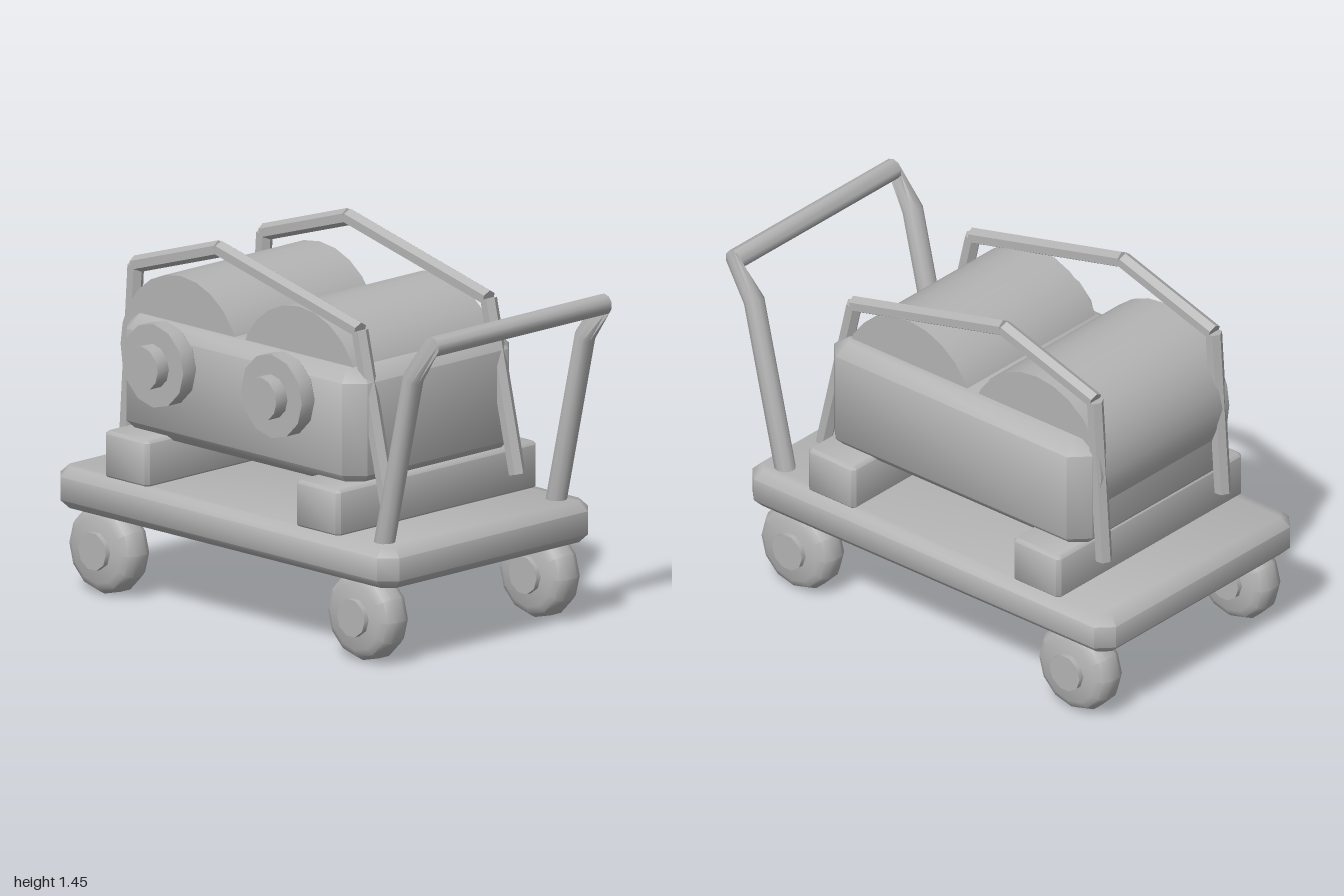
import * as THREE from 'three';
import { toCreasedNormals } from 'three/addons/utils/BufferGeometryUtils.js';

const steel = new THREE.MeshStandardMaterial({ color: 0xb4b4b4 });
steel.name = 'plain grey';

function add(parent, name, geometry, x = 0, y = 0, z = 0) {
  const mesh = new THREE.Mesh(geometry, steel);
  mesh.name = name;
  mesh.position.set(x, y, z);
  parent.add(mesh);
  return mesh;
}

// Box with cut corners in plan and a bevel along top and bottom, standing on y = 0
function bevelledBox(w, h, d, corner, bevel, crease) {
  const a = w / 2 - bevel, b = d / 2 - bevel, c = Math.max(corner - bevel * 0.6, 0.005);
  const shape = new THREE.Shape([
    [a - c, -b], [a, -b + c], [a, b - c], [a - c, b],
    [-a + c, b], [-a, b - c], [-a, -b + c], [-a + c, -b],
  ].map(([x, y]) => new THREE.Vector2(x, y)));
  const g = new THREE.ExtrudeGeometry(shape, {
    depth: h - 2 * bevel, bevelEnabled: true, bevelSegments: 1, bevelSize: bevel, bevelThickness: bevel,
  });
  g.translate(0, 0, bevel);
  g.rotateX(-Math.PI / 2);
  g.clearGroups();
  return toCreasedNormals(g, crease);
}

// Turned part along x, profile given as [radius, x] with x rising
function turned(profile, sides, crease = 0.65) {
  const g = new THREE.LatheGeometry(profile.map(([r, x]) => new THREE.Vector2(r, x)), sides);
  g.rotateZ(-Math.PI / 2);
  return toCreasedNormals(g, crease);
}

// Hexagonal bar between two points in the z-y plane, ridge upward
function hexBar(p, q, r) {
  const a = new THREE.Vector3(0, p[1], p[0]), b = new THREE.Vector3(0, q[1], q[0]);
  const g = new THREE.CylinderGeometry(r, r, a.distanceTo(b), 6);
  const dir = b.clone().sub(a);
  g.rotateX(Math.atan2(dir.z, dir.y));
  const mid = a.add(b).multiplyScalar(0.5);
  g.translate(mid.x, mid.y, mid.z);
  return toCreasedNormals(g, 0.5);
}

// Bent handle: post, elbow, crossbar, elbow, post, swept through rings
function handleGeometry(r, sides) {
  const out = (s) => new THREE.Vector3(s, 0, 0);
  const lower = new THREE.Vector3(0, 0.23, 0.97).normalize();
  lower.set(0, -0.23, 0.97).normalize();
  const elbow = new THREE.Vector3(0, -0.42, 0.91).normalize();
  const upper = new THREE.Vector3(0, -0.57, 0.82).normalize();
  const up = new THREE.Vector3(0, 0.82, 0.57).normalize();
  const rings = [
    [-0.458, 0.46, 0.70, out(-1), lower], [-0.458, 1.15, 0.86, out(-1), elbow],
    [-0.462, 1.29, 0.96, up, upper], [0.462, 1.29, 0.96, up, upper],
    [0.458, 1.15, 0.86, out(1), elbow], [0.458, 0.46, 0.70, out(1), lower],
  ];
  const pos = [], index = [];
  for (const [x, y, z, A, B] of rings) {
    for (let j = 0; j < sides; j++) {
      const t = (j / sides) * Math.PI * 2;
      const p = new THREE.Vector3(x, y, z).addScaledVector(A, r * Math.cos(t)).addScaledVector(B, r * Math.sin(t));
      pos.push(p.x, p.y, p.z);
    }
  }
  for (let i = 0; i < rings.length - 1; i++) {
    for (let j = 0; j < sides; j++) {
      const k = (j + 1) % sides, a = i * sides, b = a + sides;
      index.push(a + j, a + k, b + j, a + k, b + k, b + j);
    }
  }
  // End caps
  const last = (rings.length - 1) * sides;
  for (let j = 1; j < sides - 1; j++) index.push(0, j + 1, j, last, last + j, last + j + 1);
  const g = new THREE.BufferGeometry();
  g.setAttribute('position', new THREE.Float32BufferAttribute(pos, 3));
  g.setIndex(index);
  return toCreasedNormals(g, 0.85);
}

export function createModel() {
  const model = new THREE.Group();
  model.name = 'equipmentCart';
  const cart = new THREE.Group();
  cart.name = 'cart';
  cart.position.x = 0.008;
  model.add(cart);

  // Deck and push handle
  add(cart, 'deck', bevelledBox(1.125, 0.16, 1.83, 0.06, 0.035, 0.9), 0, 0.32, -0.085);
  add(cart, 'pushHandle', handleGeometry(0.041, 10));

  // Wheels with hubs
  const tyre = turned([[0, -0.07], [0.13, -0.07], [0.16, -0.055], [0.177, -0.025],
    [0.177, 0.025], [0.16, 0.055], [0.13, 0.07], [0, 0.07]], 12);
  const hub = turned([[0, -0.092], [0.075, -0.092], [0.075, 0.092], [0, 0.092]], 10);
  for (const side of [-1, 1]) {
    for (const z of [0.615, -0.782]) {
      const wheel = new THREE.Group();
      wheel.name = 'wheel';
      wheel.position.set(side * 0.458, 0.18, z);
      add(wheel, 'tyre', tyre);
      add(wheel, 'hub', hub);
      cart.add(wheel);
    }
  }

  // Support blocks and housing
  const block = bevelledBox(1.066, 0.185, 0.238, 0.015, 0.012, 0.9);
  for (const z of [0.412, -0.62]) add(cart, 'supportBlock', block, 0, 0.475, z);
  add(cart, 'housing', bevelledBox(0.89, 0.46, 1.3, 0.07, 0.05, 0.9), 0, 0.64, -0.12);

  // Two drums, each with a stepped boss on the right side
  const drum = turned([[0, -0.375], [0.325, -0.375], [0.325, 0.365], [0, 0.365]], 24);
  const boss = turned([[0, -0.583], [0.086, -0.583], [0.086, -0.523], [0.164, -0.523],
    [0.164, -0.455], [0.1, -0.39], [0, -0.37]], 12);
  for (const z of [0.16, -0.48]) {
    add(cart, 'drum', drum, 0, 0.96, z);
    add(cart, 'boss', boss, 0, 0.96, z);
  }

  // Guard rails arching over the drums
  const path = [[0.61, 0.58], [0.455, 1.24], [-0.3, 1.42], [-0.755, 1.275], [-0.8, 0.595]];
  for (const side of [-1, 1]) {
    const rail = new THREE.Group();
    rail.name = 'guardRail';
    rail.position.x = side * 0.343;
    for (let i = 0; i < path.length - 1; i++) add(rail, 'railBar', hexBar(path[i], path[i + 1], 0.033));
    cart.add(rail);
  }
  return model;
}
